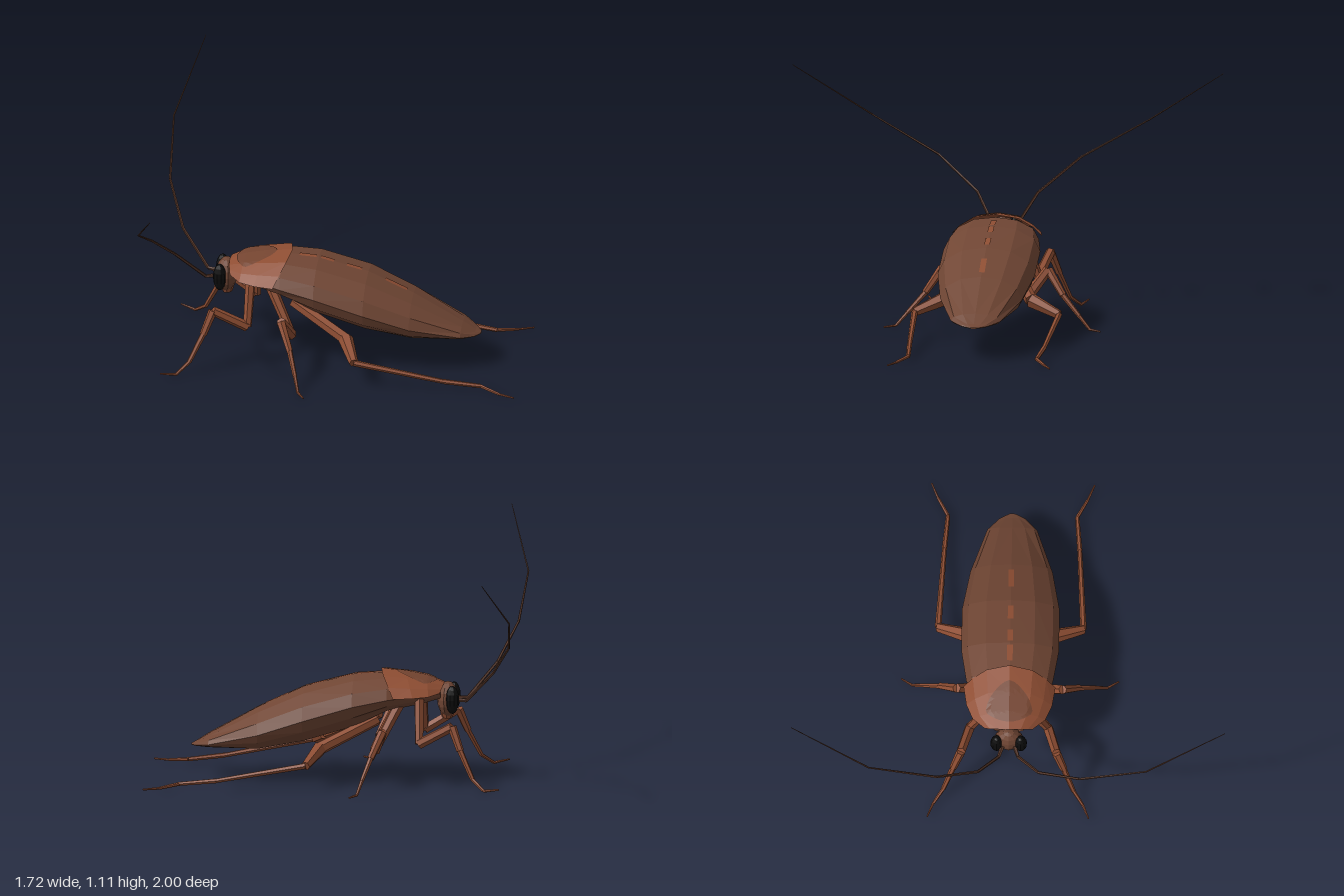
import * as THREE from 'three';

const mat = (name, color) => {
  const m = new THREE.MeshStandardMaterial({ color, side: THREE.DoubleSide });
  m.name = name;
  return m;
};
const lerp = THREE.MathUtils.lerp;

// Facetted mesh with hard edges
function facet(name, geometry, material) {
  const g = geometry.index ? geometry.toNonIndexed() : geometry;
  g.computeVertexNormals();
  const mesh = new THREE.Mesh(g, material);
  mesh.name = name;
  return mesh;
}

// Skin over rows of [x, y, z] points
function skin(rows) {
  const n = rows[0].length, index = [];
  for (let i = 0; i < rows.length - 1; i++) {
    for (let j = 0; j < n - 1; j++) {
      const a = i * n + j, b = a + n;
      index.push(a, a + 1, b, a + 1, b + 1, b);
    }
  }
  const g = new THREE.BufferGeometry();
  g.setAttribute('position', new THREE.Float32BufferAttribute(rows.flat(2), 3));
  g.setIndex(index);
  return g;
}

// Tapered rod between two points
function rod(name, a, b, ra, rb, material, sides = 6) {
  const A = new THREE.Vector3(...a), B = new THREE.Vector3(...b);
  const d = B.clone().sub(A);
  const mesh = facet(name, new THREE.CylinderGeometry(rb, ra, d.length(), sides), material);
  mesh.position.copy(A).add(B).multiplyScalar(0.5);
  mesh.quaternion.setFromUnitVectors(new THREE.Vector3(0, 1, 0), d.normalize());
  return mesh;
}

function ball(name, p, r, material, w = 10, h = 8) {
  const mesh = facet(name, new THREE.SphereGeometry(1, w, h), material);
  mesh.position.set(...p);
  mesh.scale.set(...r);
  return mesh;
}

// Body stations: x, top, widest height, bottom, half width
const BODY = [
  [-0.50, 0.45, 0.42, 0.39, 0.07],
  [-0.40, 0.475, 0.42, 0.365, 0.14],
  [-0.26, 0.508, 0.41, 0.34, 0.20],
  [-0.10, 0.497, 0.38, 0.26, 0.225],
  [0.13, 0.437, 0.31, 0.19, 0.225],
  [0.34, 0.34, 0.235, 0.15, 0.19],
  [0.57, 0.21, 0.175, 0.152, 0.115],
  [0.63, 0.172, 0.162, 0.153, 0.06],
  [0.655, 0.16, 0.158, 0.154, 0.015],
];
const UPPER = [[0, 1], [0.5, 0.88], [0.87, 0.5], [1, 0]];
const LOWER = [[1, 0], [0.9, -0.45], [0.55, -0.9], [0, -1]];

const shell = (stations, arc, s) => skin(stations.map(([x, t, m, b, w]) =>
  arc.map(([f, h]) => [x, m + h * (h > 0 ? t - m : m - b), s * f * w])));

// Neck shield rows: centre x, edge x, half width, top, edge height
const SHIELD = [
  [-0.515, -0.50, 0.11, 0.462, 0.43],
  [-0.44, -0.45, 0.168, 0.492, 0.422],
  [-0.34, -0.38, 0.198, 0.512, 0.42],
  [-0.222, -0.29, 0.212, 0.527, 0.418],
];
const COLS = [-1, -0.8, -0.5, 0, 0.5, 0.8, 1];

function shieldPoint(u, t, lift = 0) {
  const i = Math.min(2, Math.floor(u)), f = u - i;
  const [xc, xe, w, top, edge] = SHIELD[i].map((v, k) => lerp(v, SHIELD[i + 1][k], f));
  const a = Math.abs(t);
  let j = 3;
  while (j < 5 && a > COLS[j + 1]) j++;
  const k = (a - COLS[j]) / (COLS[j + 1] - COLS[j]);
  const drop = lerp(COLS[j] ** 2.5, COLS[j + 1] ** 2.5, k);
  const back = lerp(COLS[j] ** 2, COLS[j + 1] ** 2, k);
  return [lerp(xc, xe, back), lerp(top, edge, drop) + lift, t * w];
}

// Legs: joints and [start, end] radii of each segment
const LEGS = {
  frontLeg: {
    p: [[-0.405, 0.40, 0.11], [-0.41, 0.205, 0.18], [-0.565, 0.295, 0.22], [-0.605, 0.19, 0.255],
      [-0.665, 0.065, 0.30], [-0.72, 0.02, 0.345], [-0.79, 0.032, 0.372]],
    r: [[0.024, 0.02], [0.024, 0.022], [0.021, 0.017], [0.014, 0.011], [0.009, 0.007], [0.007, 0.004]],
  },
  middleLeg: {
    p: [[-0.31, 0.37, 0.09], [-0.205, 0.17, 0.17], [-0.245, 0.27, 0.245], [-0.195, 0.16, 0.32],
      [-0.16, 0.07, 0.40], [-0.14, 0.013, 0.45], [-0.108, 0.01, 0.502]],
    r: [[0.026, 0.021], [0.026, 0.023], [0.021, 0.016], [0.013, 0.01], [0.009, 0.007], [0.006, 0.004]],
  },
  hindLeg: {
    p: [[-0.21, 0.30, 0.08], [0.05, 0.18, 0.20], [0.105, 0.125, 0.335], [0.52, 0.045, 0.312],
      [0.69, 0.026, 0.298], [0.78, 0.013, 0.345], [0.853, 0.012, 0.376]],
    r: [[0.027, 0.03], [0.035, 0.022], [0.015, 0.011], [0.012, 0.01], [0.009, 0.007], [0.006, 0.004]],
  },
};
const FEELER = [[-0.56, 0.385, 0.025], [-0.62, 0.385, 0.045], [-0.75, 0.535, 0.14],
  [-0.835, 0.69, 0.33], [-0.858, 0.865, 0.64], [-0.756, 1.11, 1.0]];
const FEELER_R = [0.011, 0.008, 0.007, 0.006, 0.004, 0.0015];

export function createModel() {
  const model = new THREE.Group();
  model.name = 'cockroach';
  const wingBrown = mat('wing brown', 0x704634);
  const rust = mat('rust brown', 0x8f4e33);
  const patchBrown = mat('patch brown', 0x744430);
  const feelerBrown = mat('feeler brown', 0x553527);
  const black = mat('eye black', 0x0c0c0c);

  // Shield and its heart-shaped patch
  model.add(facet('neckShield', skin(SHIELD.map((_, u) => COLS.map((t) => shieldPoint(u, t)))), rust));
  const rings = [];
  for (let i = 0; i <= 5; i++) {
    rings.push([]);
    for (let j = 0; j <= 24; j++) {
      const a = (j / 24) * Math.PI * 2, c = Math.cos(a), q = i / 5;
      const u = 1.2 + q * c * (c > 0 ? 1.2 : 0.75);
      const t = q * Math.sin(a) * (c > 0 ? 0.62 - 0.2 * c : 0.62);
      rings[i].push(shieldPoint(u, t, 0.004));
    }
  }
  model.add(facet('shieldPatch', skin(rings), patchBrown));

  // Light pieces along the wing seam
  const topAt = (x) => {
    const i = BODY.findIndex((b) => b[0] > x) - 1, a = BODY[i], b = BODY[i + 1];
    return lerp(a[1], b[1], (x - a[0]) / (b[0] - a[0])) + 0.002;
  };
  for (const [a, b] of [[-0.19, -0.11], [-0.09, -0.03], [0.03, 0.1], [0.21, 0.31]]) {
    model.add(facet('seamPiece', skin([a, b].map((x) => [-0.013, 0.013].map((z) => [x, topAt(x), z]))), rust));
  }

  // Head
  model.add(ball('head', [-0.53, 0.385, 0], [0.05, 0.083, 0.066], wingBrown));
  model.add(rod('mouth', [-0.53, 0.35, 0], [-0.525, 0.295, 0], 0.045, 0.022, rust, 8));

  for (const s of [1, -1]) {
    const side = new THREE.Group();
    side.name = s > 0 ? 'frontFacingSide' : 'rearFacingSide';
    const flip = ([x, y, z]) => [x, y, s * z];

    side.add(facet('thorax', shell(BODY.slice(0, 3), UPPER, s), wingBrown));
    side.add(facet('wing', shell(BODY.slice(2), UPPER, s), wingBrown));
    side.add(facet('abdomen', shell(BODY, LOWER, s), wingBrown));
    side.add(ball('eye', [-0.555, 0.39, s * 0.055], [0.031, 0.066, 0.03], black));

    for (let i = 0; i < FEELER.length - 1; i++) {
      side.add(rod('feeler', flip(FEELER[i]), flip(FEELER[i + 1]), FEELER_R[i], FEELER_R[i + 1], feelerBrown, 5));
    }
    for (const [name, { p, r }] of Object.entries(LEGS)) {
      const leg = new THREE.Group();
      leg.name = name;
      r.forEach(([ra, rb], i) => leg.add(rod('legSegment', flip(p[i]), flip(p[i + 1]), ra, rb, rust)));
      side.add(leg);
    }
    model.add(side);
  }
  return model;
}
